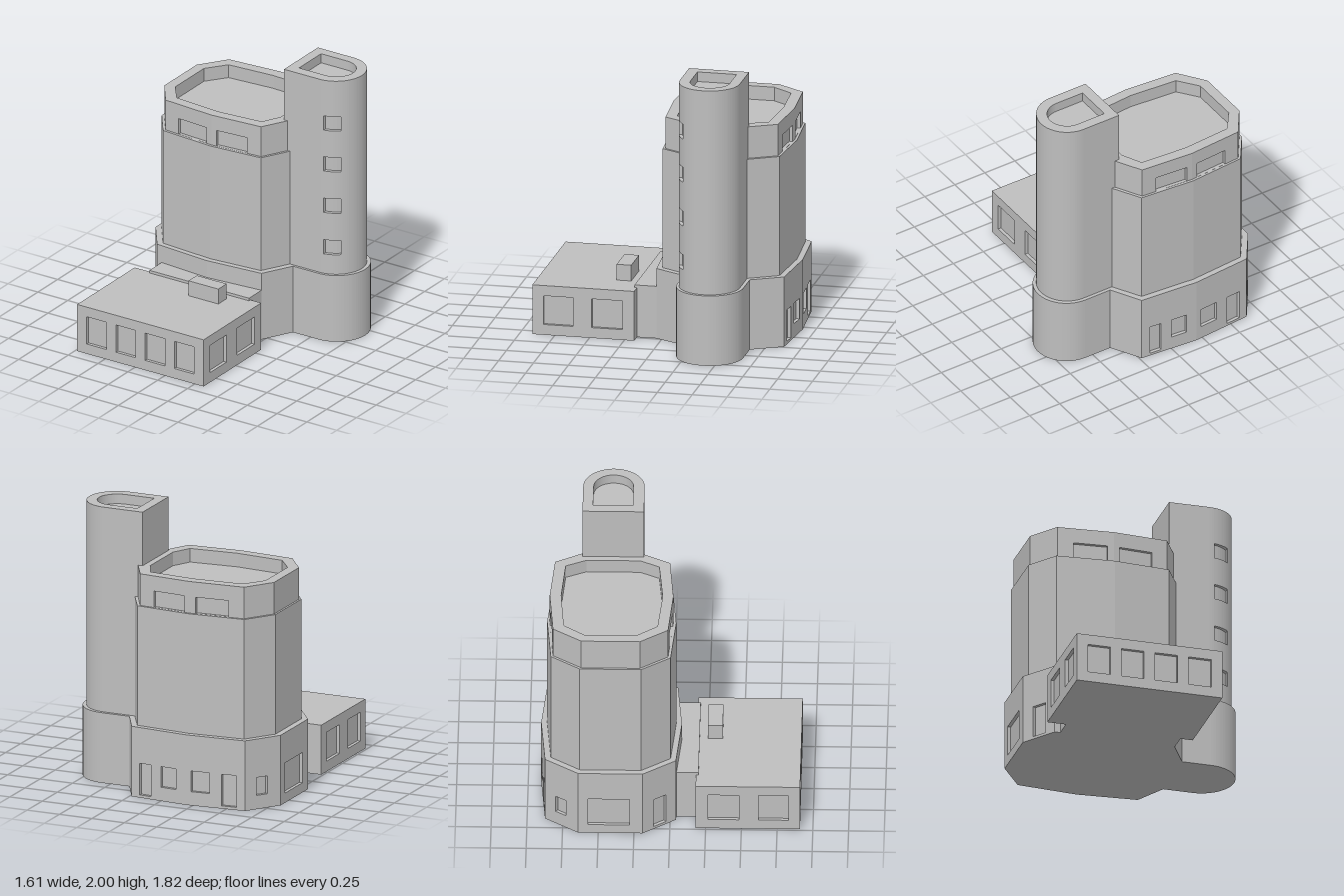
import * as THREE from 'three';

const stone = new THREE.MeshStandardMaterial({ color: 0xbebebe });
stone.name = 'grey stone';
const REVEAL = 0.025; // depth of window recesses

function mesh(name, geometry) {
  const m = new THREE.Mesh(geometry, stone);
  m.name = name;
  return m;
}

// Plan points are [x, z]; order is counter-clockwise seen from above.
const planShape = (pts) => new THREE.Shape(pts.map(([x, z]) => new THREE.Vector2(x, -z)));

function plate(name, pts, y, hole, down = false) {
  const shape = planShape(pts);
  if (hole) shape.holes.push(planShape(hole));
  const g = new THREE.ShapeGeometry(shape);
  g.rotateX(-Math.PI / 2);
  if (down) { // flip the triangles so the plate faces the ground
    g.index.array.reverse();
    g.attributes.normal.array.forEach((v, i, a) => { a[i] = -v; });
  }
  g.translate(0, y, 0);
  return mesh(name, g);
}

function prism(name, pts, y0, y1) {
  const g = new THREE.ExtrudeGeometry(planShape(pts), { depth: y1 - y0, bevelEnabled: false });
  g.rotateX(-Math.PI / 2);
  g.translate(0, y0, 0);
  return mesh(name, g);
}

// Upright wall from a to b (left to right seen from outside) with recessed windows [u0, u1, v0, v1].
function wall(name, a, b, y0, y1, windows = []) {
  const dx = b[0] - a[0], dz = b[1] - a[1], len = Math.hypot(dx, dz), h = y1 - y0;
  const rect = (C, u0, u1, v0, v1) => new C([[u0, v0], [u1, v0], [u1, v1], [u0, v1]].map((p) => new THREE.Vector2(...p)));
  const group = new THREE.Group();
  group.name = name;
  const shape = rect(THREE.Shape, 0, len, 0, h);
  for (const w of windows) {
    shape.holes.push(rect(THREE.Path, ...w));
    const pane = mesh('windowPane', new THREE.PlaneGeometry(w[1] - w[0], w[3] - w[2]));
    pane.position.set((w[0] + w[1]) / 2, (w[2] + w[3]) / 2, -REVEAL + 0.001);
    group.add(pane);
  }
  const g = new THREE.ExtrudeGeometry(shape, { depth: REVEAL, bevelEnabled: false });
  g.translate(0, 0, -REVEAL);
  group.add(mesh('wallPanel', g));
  group.position.set(a[0], y0, a[1]);
  group.rotation.y = Math.atan2(-dz, dx);
  return group;
}

// Hollow block of walls; windows are keyed by wall index, recess sinks the roof.
function block(name, pts, y0, y1, windows = {}, recess = null, depth = 0) {
  const group = new THREE.Group();
  group.name = name;
  pts.forEach((p, i) => group.add(wall('wall', p, pts[(i + 1) % pts.length], y0, y1, windows[i])));
  group.add(plate('roof', pts, y1, recess), plate('underside', pts, y0, null, true));
  if (recess) {
    const rev = [...recess].reverse();
    rev.forEach((p, i) => group.add(wall('parapet', p, rev[(i + 1) % rev.length], y1 - depth, y1 - 0.001)));
    group.add(plate('sunkenRoof', recess, y1 - depth));
  }
  return group;
}

// D-shaped plan with a round +x end; an optional notch cuts a window into the front curve.
function dPlan(x0, cx, cz, r, notch = false) {
  const pts = [[x0, cz + r]];
  const n = 40, inner = r - REVEAL;
  const at = (t, rad) => [cx + Math.cos(t) * rad, cz + Math.sin(t) * rad];
  const t0 = Math.acos((0.595 - cx) / r), t1 = Math.acos((0.705 - cx) / r);
  for (let i = 0; i <= n; i++) {
    const t = Math.PI / 2 - (i / n) * Math.PI;
    if (notch && t < t0 && t > t1) continue;
    if (notch && t <= t1 && t > t1 - Math.PI / n) {
      pts.push(at(t0, r));
      for (let k = 0; k <= 6; k++) {
        const x = 0.595 + (k / 6) * 0.11;
        pts.push([x, cz + Math.sqrt(inner * inner - (x - cx) ** 2)]);
      }
      pts.push(at(t1, r));
    }
    pts.push(at(t, r));
  }
  pts.push([x0, cz - r]);
  return pts;
}

export function createModel() {
  const model = new THREE.Group();
  model.name = 'building';

  // Ten-sided base with doors and windows at the rear and left
  const base = [[-0.64, 0.04], [-0.2, 0.075], [0.235, 0.04], [0.355, -0.185], [0.355, -0.655],
    [0.235, -0.875], [-0.2, -0.91], [-0.64, -0.875], [-0.805, -0.64], [-0.805, -0.19]];
  model.add(block('base', base, 0, 0.51, {
    5: [[0.065, 0.155, 0.02, 0.25], [0.235, 0.355, 0.1, 0.25]],
    6: [[0.04, 0.175, 0.1, 0.25], [0.267, 0.376, 0.02, 0.25]],
    7: [[0.093, 0.18, 0.1, 0.23]],
    8: [[0.07, 0.36, 0.07, 0.29]],
    9: [[0.092, 0.2, 0.02, 0.25]],
  }));

  // Main shaft
  const shaft = [[-0.615, 0.003], [-0.2, 0.035], [0.205, 0.003], [0.315, -0.2], [0.325, -0.63],
    [0.21, -0.835], [-0.2, -0.868], [-0.615, -0.835], [-0.76, -0.63], [-0.76, -0.2]];
  model.add(prism('mainShaft', shaft, 0.51, 1.38));

  // Crown with windows front and rear, and a sunken roof
  const crown = [[-0.605, -0.015], [-0.2, 0.015], [0.195, -0.015], [0.295, -0.2], [0.3, -0.63],
    [0.195, -0.82], [-0.2, -0.85], [-0.605, -0.82], [-0.745, -0.62], [-0.745, -0.21]];
  const sunken = [[-0.56, -0.09], [-0.2, -0.06], [0.15, -0.09], [0.22, -0.225], [0.22, -0.6],
    [0.15, -0.745], [-0.2, -0.77], [-0.56, -0.745], [-0.67, -0.6], [-0.67, -0.235]];
  model.add(block('crown', crown, 1.38, 1.61, {
    0: [[0.115, 0.36, 0.001, 0.12]],
    1: [[0.04, 0.285, 0.001, 0.12]],
    5: [[0.11, 0.355, 0.001, 0.12]],
    6: [[0.045, 0.29, 0.001, 0.12]],
  }, sunken, 0.1));

  // Stair tower: rounded foot, stacked shaft with notched window bands, sunken top
  model.add(prism('stairFoot', dPlan(0.3, 0.565, -0.418, 0.237), 0, 0.51));
  const solid = dPlan(0.265, 0.56, -0.415, 0.215);
  const notched = dPlan(0.265, 0.56, -0.415, 0.215, true);
  let y = 0.51;
  for (const sill of [0.66, 0.98, 1.3, 1.615]) {
    model.add(prism('stairShaft', solid, y, sill), prism('stairWindowBand', notched, sill, sill + 0.11));
    y = sill + 0.11;
  }
  model.add(prism('stairShaft', solid, y, 1.93));
  const rim = planShape(solid);
  rim.holes.push(planShape(dPlan(0.34, 0.56, -0.417, 0.14)));
  const rimGeometry = new THREE.ExtrudeGeometry(rim, { depth: 0.07, bevelEnabled: false });
  rimGeometry.rotateX(-Math.PI / 2);
  rimGeometry.translate(0, 1.93, 0);
  model.add(mesh('stairParapet', rimGeometry));

  // Low front annex with windows on three sides
  const annex = [[-0.735, 0.91], [0.325, 0.91], [0.325, 0.18], [-0.735, 0.18]];
  model.add(block('annex', annex, 0, 0.36, {
    0: [0.08, 0.325, 0.57, 0.815].map((u) => [u, u + 0.165, 0.075, 0.285]),
    1: [[0.08, 0.29, 0.075, 0.285], [0.425, 0.645, 0.075, 0.285]],
    3: [[0.085, 0.305, 0.075, 0.285], [0.44, 0.65, 0.075, 0.285]],
  }));

  // Link between annex and base, and the rooftop unit
  model.add(prism('link', [[-0.6, 0.198], [0.235, 0.198], [0.235, 0.02], [-0.6, 0.02]], 0, 0.38));
  model.add(prism('roofUnit', [[-0.165, 0.36], [0.085, 0.36], [0.085, 0.255], [-0.165, 0.255]], 0.36, 0.475));
  return model;
}
